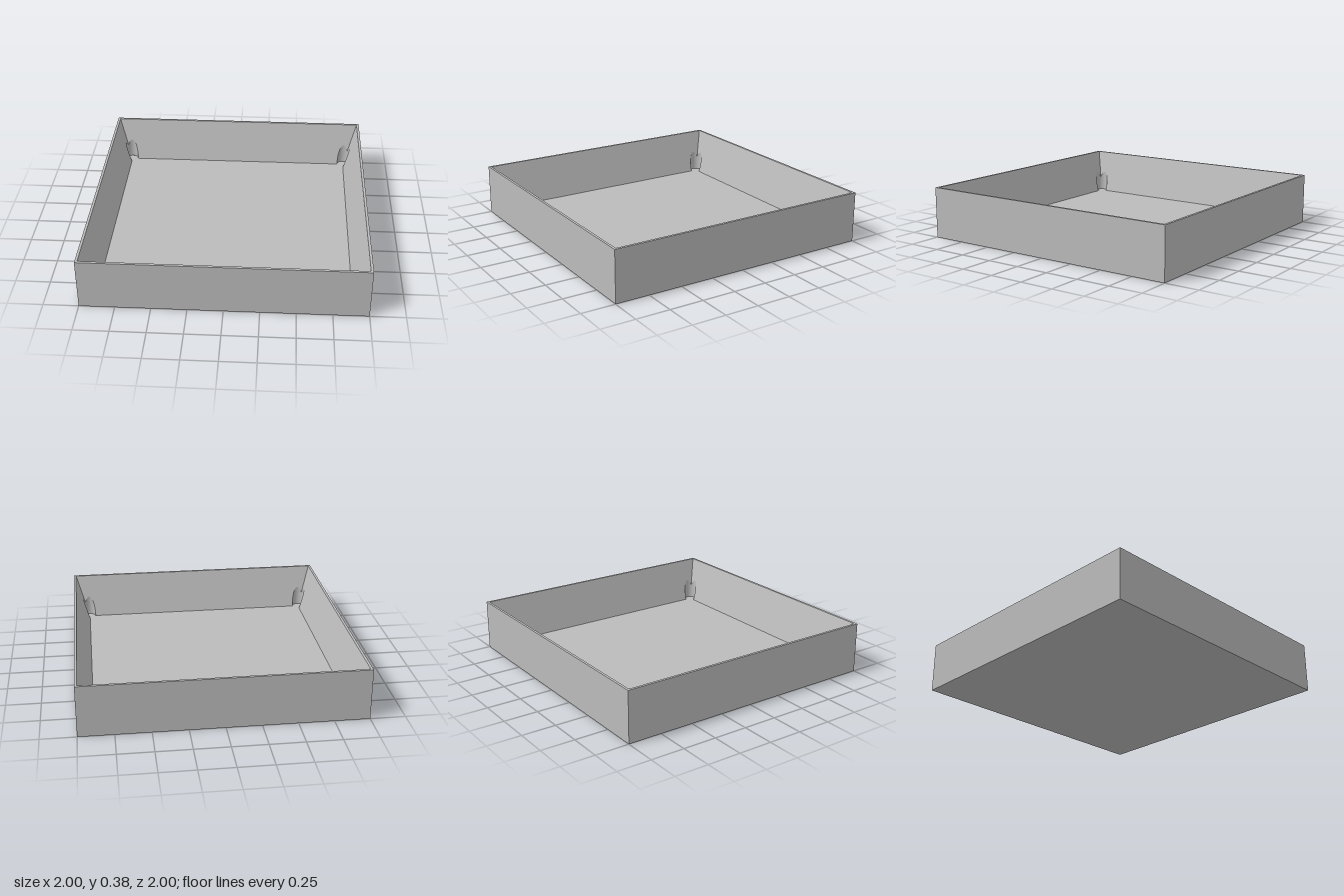
import * as THREE from 'three';

const HEIGHT = 0.375; // overall height
const FLOOR = 0.053;  // height of the tray floor
const RIM = 0.982;    // half width of the opening at the rim
const INNER = 0.884;  // half width of the opening at the floor
const RELIEF = 0.047; // radius of the round corner reliefs
const SLOPE = (HEIGHT - FLOOR) / (RIM - INNER);
const STEPS = 18;

// Points on a corner relief circle, counter-clockwise, angles in degrees
function arc(cx, cy, from, to) {
  return Array.from({ length: STEPS + 1 }, (_, i) => {
    const a = THREE.MathUtils.degToRad(from + (to - from) * i / STEPS);
    return new THREE.Vector2(cx + RELIEF * Math.cos(a), cy + RELIEF * Math.sin(a));
  });
}

const wallHeight = (s) => FLOOR + (s - INNER) * SLOPE;

// Vertical side of a relief, from the floor up to where it meets the sloped wall
function reliefGeometry(points) {
  const positions = [], index = [];
  points.forEach((p, i) => {
    positions.push(p.x, FLOOR, -p.y, p.x, wallHeight(p.y), -p.y);
    if (i === 0) return;
    const a = 2 * i - 2, b = 2 * i;
    index.push(b, a, a + 1, b, a + 1, b + 1);
  });
  const geometry = new THREE.BufferGeometry();
  geometry.setAttribute('position', new THREE.Float32BufferAttribute(positions, 3));
  geometry.setIndex(index);
  geometry.computeVertexNormals();
  return geometry;
}

function square(half) {
  return [[-half, -half], [half, -half], [half, half], [-half, half]]
    .map(([x, y]) => new THREE.Vector2(x, y));
}

export function createModel() {
  const model = new THREE.Group();
  model.name = 'tray';
  const grey = new THREE.MeshStandardMaterial({ color: 0xbbbbbb });
  grey.name = 'grey';

  function add(parent, name, geometry) {
    const mesh = new THREE.Mesh(geometry, grey);
    mesh.name = name;
    parent.add(mesh);
    return mesh;
  }

  // Outer shell: a box without its top face
  const shell = new THREE.BoxGeometry(2, HEIGHT, 2);
  const faces = Array.from(shell.index.array);
  faces.splice(12, 6);
  shell.setIndex(faces);
  shell.clearGroups();
  add(model, 'outerShell', shell).position.y = HEIGHT / 2;

  // Narrow flat rim
  const rim = new THREE.Shape(square(1));
  rim.holes.push(new THREE.Path(square(RIM)));
  add(model, 'rim', new THREE.ShapeGeometry(rim).rotateX(-Math.PI / 2).translate(0, HEIGHT, 0));

  // Floor with a round lobe at each corner
  const outline = [];
  [[1, 1], [-1, 1], [-1, -1], [1, -1]].forEach(([sx, sy], k) => {
    outline.push(...arc(sx * INNER, sy * INNER, -90 + 90 * k, 180 + 90 * k));
  });
  add(model, 'floor', new THREE.ShapeGeometry(new THREE.Shape(outline))
    .rotateX(-Math.PI / 2).translate(0, FLOOR, 0));

  // One sloped wall with its halves of the corner reliefs, repeated on four sides
  const rightArc = arc(INNER, INNER, 45, 180);
  const leftArc = arc(-INNER, INNER, 0, 135);
  const wall = new THREE.ShapeGeometry(new THREE.Shape([
    new THREE.Vector2(-RIM, RIM), ...leftArc.slice().reverse(),
    ...rightArc.slice().reverse(), new THREE.Vector2(RIM, RIM),
  ]));
  const pos = wall.attributes.position;
  for (let i = 0; i < pos.count; i++) {
    const s = pos.getY(i);
    pos.setXYZ(i, pos.getX(i), wallHeight(s), -s);
  }
  wall.computeVertexNormals();
  const reliefs = [reliefGeometry(rightArc), reliefGeometry(leftArc)];

  ['back', 'right', 'front', 'left'].forEach((side, k) => {
    const group = new THREE.Group();
    group.name = side + 'Side';
    group.rotation.y = k * Math.PI / 2;
    add(group, 'slopedWall', wall);
    reliefs.forEach((geometry) => add(group, 'cornerRelief', geometry));
    model.add(group);
  });

  return model;
}
